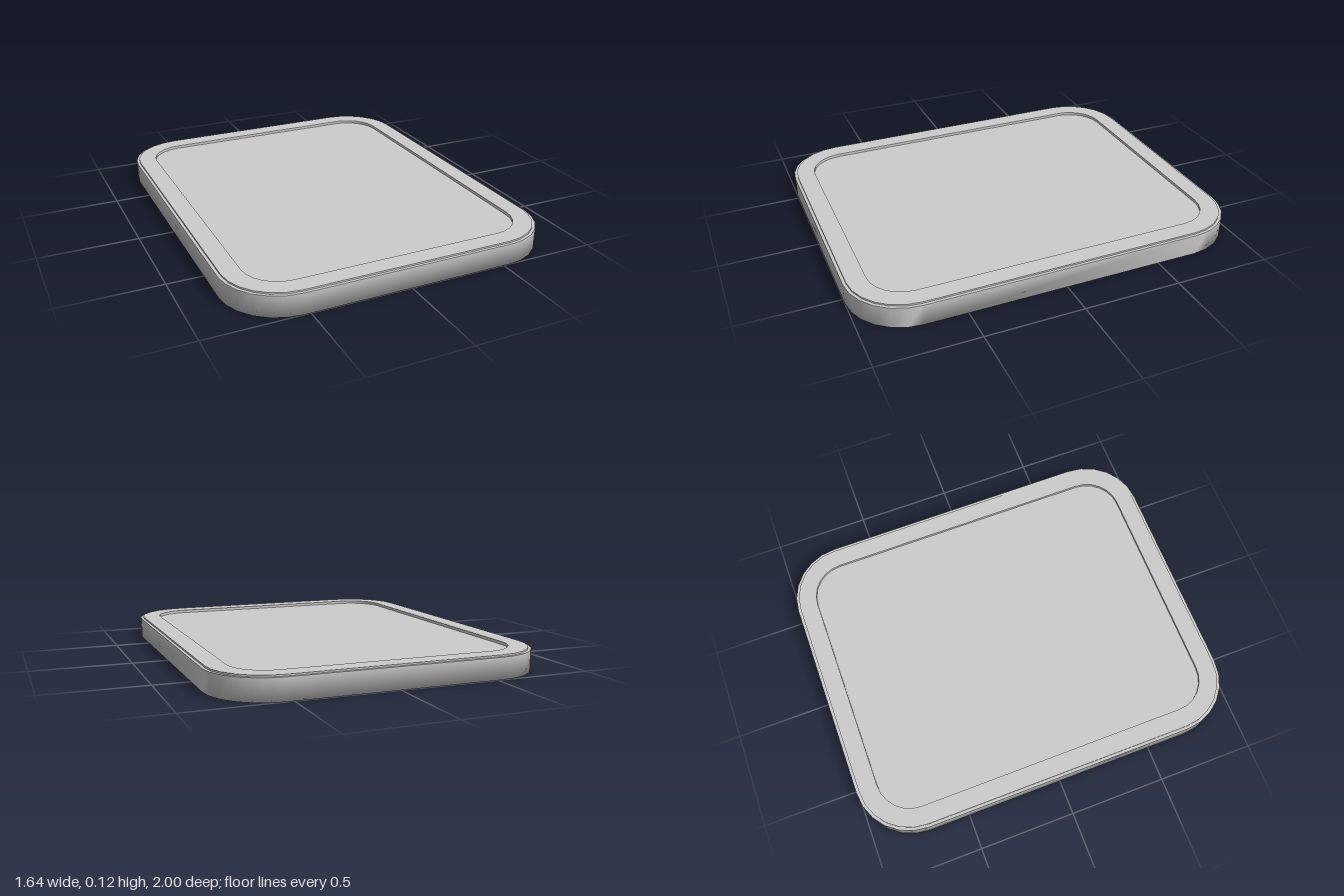
import * as THREE from 'three';

const HALF_X = 0.82, HALF_Z = 1.0, RADIUS = 0.29, SEGMENTS = 6;

// Rounded-rectangle loop at height y, pulled in from the outer edge by inset
function ring(inset, y) {
  const points = [];
  const r = RADIUS - inset, cx = HALF_X - RADIUS, cz = HALF_Z - RADIUS;
  const corners = [[1, 1], [-1, 1], [-1, -1], [1, -1]];
  corners.forEach(([sx, sz], q) => {
    for (let i = 0; i <= SEGMENTS; i++) {
      const a = (q + i / SEGMENTS) * Math.PI / 2;
      points.push([sx * cx + r * Math.cos(a), y, sz * cz + r * Math.sin(a)]);
    }
  });
  return points;
}

// Joins successive [inset, y] loops, optionally closing the first or last one
function loft(profile, { capStart = false, capEnd = false } = {}) {
  const rings = profile.map(([inset, y]) => ring(inset, y));
  const n = rings[0].length, positions = rings.flat(2), index = [];
  for (let k = 0; k < rings.length - 1; k++) {
    for (let i = 0; i < n; i++) {
      const a = k * n + i, b = k * n + (i + 1) % n;
      index.push(a, a + n, b, b, a + n, b + n);
    }
  }
  const last = (rings.length - 1) * n;
  for (let i = 1; i < n - 1; i++) {
    if (capStart) index.push(0, i, i + 1);
    if (capEnd) index.push(last, last + i + 1, last + i);
  }
  const geometry = new THREE.BufferGeometry();
  geometry.setAttribute('position', new THREE.Float32BufferAttribute(positions, 3));
  geometry.setIndex(index);
  geometry.computeVertexNormals();
  return geometry;
}

export function createModel() {
  const group = new THREE.Group();
  const material = new THREE.MeshStandardMaterial({ color: 0xcccccc });
  const add = (name, geometry) => {
    const mesh = new THREE.Mesh(geometry, material);
    mesh.name = name;
    group.add(mesh);
  };

  const ledgeY = 0.107, topY = 0.115, panelY = 0.1;
  const lip = 0.015, frame = 0.11;

  // Side wall and underside, shaded as one smooth surface
  add('shell', loft([[0, 0], [0, ledgeY]], { capStart: true }));

  // Small step around the upper edge
  add('edgeLedge', loft([[0, ledgeY], [lip, ledgeY]]));
  add('edgeRiser', loft([[lip, ledgeY], [lip, topY]]));

  // Flat border, drop to the panel, and the sunken panel itself
  add('topFrame', loft([[lip, topY], [frame, topY]]));
  add('recessWall', loft([[frame, topY], [frame, panelY]]));
  add('panel', loft([[frame, panelY]], { capEnd: true }));

  return group;
}
